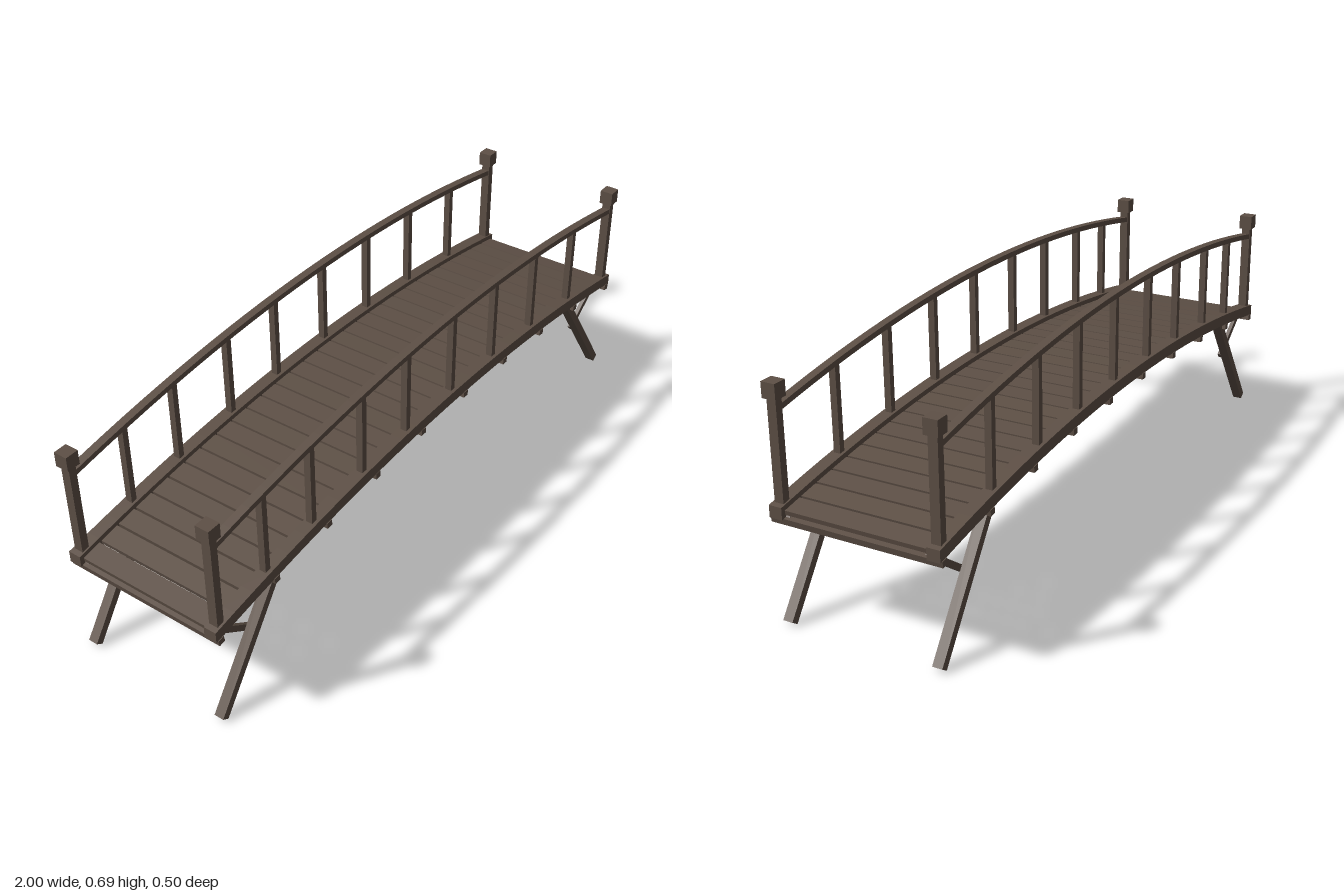
import * as THREE from 'three';

export function createModel() {
  const group = new THREE.Group();
  group.name = 'archedFootbridge';
  const wood = new THREE.MeshStandardMaterial({ color: 0x5e5046 });
  wood.name = 'dark brown wood';

  // Heights of the beam and handrail centre lines
  const deckY = (x) => 0.413 - 0.09 * x * x;
  const railY = (x) => 0.681 - 0.095 * x * x;
  const slope = (x) => Math.atan(-0.18 * x);

  function add(name, geometry, x, y, z, tilt = 0) {
    const mesh = new THREE.Mesh(geometry, wood);
    mesh.name = name;
    mesh.position.set(x, y, z);
    mesh.rotation.z = tilt;
    group.add(mesh);
    return mesh;
  }
  const box = (name, w, h, d, x, y, z, tilt) =>
    add(name, new THREE.BoxGeometry(w, h, d), x, y, z, tilt);

  // Curved bar following a height function
  function curvedBar(name, heightAt, halfSpan, thick, depth, z) {
    const n = 28;
    const pts = [];
    for (let i = 0; i <= n; i++) {
      const x = halfSpan * (2 * i / n - 1);
      pts.push(new THREE.Vector2(x, heightAt(x) - thick / 2));
    }
    for (let i = n; i >= 0; i--) {
      pts.push(new THREE.Vector2(pts[i].x, pts[i].y + thick));
    }
    const geo = new THREE.ExtrudeGeometry(new THREE.Shape(pts), { depth, bevelEnabled: false });
    geo.translate(0, 0, -depth / 2);
    add(name, geo, 0, 0, z);
  }

  // Straight timber between two points in a plane of constant z
  function strut(name, x0, y0, x1, y1, z, width, depth) {
    const length = Math.hypot(x1 - x0, y1 - y0);
    box(name, length, width, depth, (x0 + x1) / 2, (y0 + y1) / 2, z,
      Math.atan2(y1 - y0, x1 - x0));
  }

  // Deck planks
  const planks = 30;
  const pitch = 1.98 / planks;
  for (let i = 0; i < planks; i++) {
    const x = (i - (planks - 1) / 2) * pitch;
    box('plank', pitch - 0.006, 0.013, 0.42, x, deckY(x) - 0.004, 0, slope(x));
  }

  // Cross bars beneath the deck
  for (let i = 0; i < 10; i++) {
    const x = -0.983 + i * 1.966 / 9;
    box('crossBar', 0.02, 0.018, 0.498, x, deckY(x) - 0.025, 0, slope(x));
  }

  const balusterX = [-0.785, -0.595, -0.375, -0.17, 0.055, 0.275, 0.5, 0.735];
  for (const side of [-1, 1]) {
    // Side beam and handrail
    curvedBar('sideBeam', deckY, 1, 0.034, 0.038, side * 0.228);
    curvedBar('handrail', railY, 0.98, 0.016, 0.024, side * 0.227);

    // Balusters
    for (const x of balusterX) {
      const bottom = deckY(x), top = railY(x);
      box('baluster', 0.018, top - bottom, 0.02, x, (top + bottom) / 2, side * 0.227);
    }

    for (const end of [-1, 1]) {
      // End post with cap
      box('endPost', 0.023, 0.31, 0.027, end * 0.973, 0.48, side * 0.227);
      box('postCap', 0.04, 0.043, 0.041, end * 0.973, 0.641, side * 0.227);
      // Splayed leg and its brace
      strut('leg', end * 0.983, 0.007, end * 0.742, 0.35, side * 0.223, 0.024, 0.029);
      strut('brace', end * 0.985, 0.31, end * 0.835, 0.2, side * 0.203, 0.018, 0.012);
    }
  }
  return group;
}
